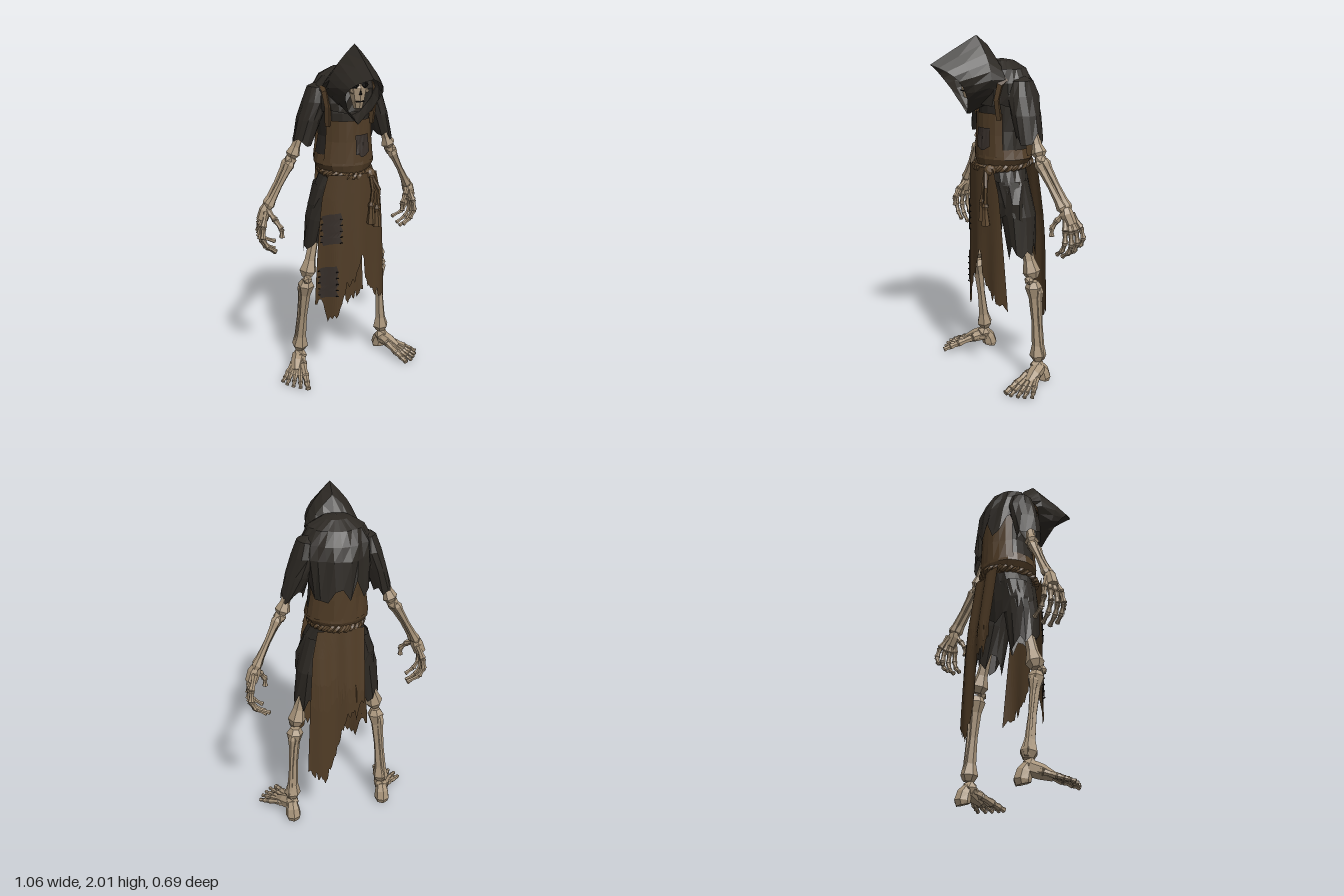
import * as THREE from 'three';
import { ParametricGeometry } from 'three/addons/geometries/ParametricGeometry.js';

const V = (x, y, z) => new THREE.Vector3(x, y, z);
const mat = (color, side = THREE.FrontSide) => new THREE.MeshStandardMaterial({ color, side, flatShading: true, roughness: 1 });
const BONE = mat(0xa8947a), DARK = mat(0x100e0c), ROPE = mat(0x5f4930);
const BLACK = mat(0x2c2823, THREE.DoubleSide), BROWN = mat(0x503c26, THREE.DoubleSide), PATCH = mat(0x38302b, THREE.DoubleSide);
const hash = i => { const s = Math.sin(i * 12.9898 + 4.1) * 43758.5453; return s - Math.floor(s); };
const lerp = THREE.MathUtils.lerp;

function add(parent, name, geometry, material, pos) {
  const m = new THREE.Mesh(geometry, material);
  m.name = name;
  if (pos) m.position.set(...pos);
  parent.add(m);
}

// Faceted tube of varying radius through a list of points, closed at both ends
function limb(pts, radii, sides = 6) {
  const n = pts.length, pos = [], idx = [];
  const d = pts[n - 1].clone().sub(pts[0]);
  const ref = Math.abs(d.z) < Math.abs(d.x) ? V(0, 0, 1) : V(1, 0, 0);
  for (let k = -1; k <= n; k++) {
    const i = Math.min(Math.max(k, 0), n - 1), r = k === i ? radii[i] : 0;
    const t = pts[Math.min(i + 1, n - 1)].clone().sub(pts[Math.max(i - 1, 0)]).normalize();
    const u = ref.clone().cross(t).normalize(), w = t.clone().cross(u);
    for (let j = 0; j < sides; j++) {
      const a = j / sides * Math.PI * 2;
      const p = pts[i].clone().addScaledVector(u, r * Math.cos(a)).addScaledVector(w, r * Math.sin(a));
      pos.push(p.x, p.y, p.z);
    }
  }
  for (let k = 0; k < n + 1; k++) for (let j = 0; j < sides; j++) {
    const a = k * sides + j, b = k * sides + (j + 1) % sides;
    idx.push(a, b, b + sides, a, b + sides, a + sides);
  }
  const g = new THREE.BufferGeometry();
  g.setAttribute('position', new THREE.Float32BufferAttribute(pos, 3));
  g.setIndex(idx);
  g.computeVertexNormals();
  return g;
}

// Bone with thick knobs at both ends
const bone = (a, b, r, knob = 1.25, waist = 0.62) => limb([0, 0.07, 0.2, 0.5, 0.8, 0.93, 1].map(t => a.clone().lerp(b, t)),
  [0.75, knob, waist + 0.18, waist, waist + 0.18, knob, 0.75].map(k => k * r));

// Cloth through horizontal rings [y, cx, cz, rx, rz]; angle 0 faces front; hem lowers the last ring
function cloth(rings, { cols = 18, a0 = -Math.PI, a1 = Math.PI, hem = () => 0, rough = 0.05 } = {}) {
  const full = a1 - a0 > 6.2;
  return new ParametricGeometry((u, v, p) => {
    const k = Math.round(v * (rings.length - 1)), c = Math.round(u * cols), col = full ? c % cols : c;
    const a = a0 + (a1 - a0) * u, [y, cx, cz, rx, rz] = rings[k];
    const q = 1 + rough * (hash(col + k * 31) - 0.5) * 2;
    const drop = k === rings.length - 1 ? hem(a, col) : 0;
    p.set(cx + rx * q * Math.sin(a), y - drop, cz + rz * q * Math.cos(a));
  }, cols, rings.length - 1);
}

// Hanging sheet with a torn lower edge given as [x, y] points
function sheet(top, edge, zAt, cols = 40, rows = 6) {
  const first = edge[0][0], last = edge[edge.length - 1][0];
  return new ParametricGeometry((u, v, p) => {
    const xb = lerp(first, last, u), c = Math.round(u * cols);
    const i = Math.max(1, edge.findIndex(e => e[0] >= xb - 1e-6)), [A, B] = [edge[i - 1], edge[i]];
    const yb = lerp(A[1], B[1], (xb - A[0]) / (B[0] - A[0])) + 0.08 * (hash(c) - 0.4);
    const x = lerp(lerp(top[0], top[1], u), xb, Math.sqrt(v)), y = lerp(top[2], yb, v);
    p.set(x, y, zAt(x, y));
  }, cols, rows);
}

export function createModel() {
  const model = new THREE.Group();
  const group = name => { const g = new THREE.Group(); g.name = name; model.add(g); return g; };

  // Hood: sections [topY, topZ, halfWidth, midY, midZ, bottomY, bottomZ] from brim to nape
  const hood = [
    [1.85, 0.345, 0.105, 1.75, 0.212, 1.575, 0.128], [1.925, 0.21, 0.128, 1.765, 0.15, 1.575, 0.11],
    [2.0, 0.07, 0.138, 1.79, 0.05, 1.6, 0.06], [1.945, 0.0, 0.15, 1.75, -0.03, 1.62, 0], [1.85, -0.05, 0.158, 1.73, -0.08, 1.62, -0.05]];
  add(model, 'hood', new ParametricGeometry((u, v, p) => {
    const [ty, tz, w, my, mz, by, bz] = hood[Math.round(v * 4)];
    const s = u * 2 - 1, t = Math.abs(s);
    const quad = (a, b, c) => a * (1 - t) * (1 - 2 * t) + b * 4 * t * (1 - t) + c * t * (2 * t - 1);
    const q = 1 + 0.12 * (hash(Math.round(t * 9) + v * 40) - 0.5);
    p.set(w * q * Math.sin(Math.PI * s), quad(ty, my, by), quad(tz, mz, bz));
  }, 18, 4), BLACK);

  // Skull under the hood
  const skull = group('skull');
  add(skull, 'cranium', new THREE.IcosahedronGeometry(0.07, 1), BONE, [0, 1.805, 0.06]);
  add(skull, 'face', limb([V(0, 1.81, 0.10), V(0, 1.77, 0.115), V(0, 1.71, 0.12), V(0, 1.665, 0.12)], [0.045, 0.052, 0.038, 0.025], 8), BONE);
  for (const s of [-1, 1]) {
    add(skull, 'eyeSocket', new THREE.IcosahedronGeometry(0.024, 0), DARK, [s * 0.026, 1.793, 0.145]);
    add(skull, 'cheekbone', new THREE.IcosahedronGeometry(0.016, 0), BONE, [s * 0.04, 1.76, 0.14]);
  }
  add(skull, 'noseHole', new THREE.ConeGeometry(0.01, 0.03, 3), DARK, [0, 1.758, 0.165]);
  add(skull, 'mouth', new THREE.BoxGeometry(0.045, 0.006, 0.02), DARK, [0, 1.705, 0.149]);

  // Shirt, shoulder mantle and sleeves
  add(model, 'shirt', cloth([[1.85, 0, -0.1, 0.005, 0.005], [1.81, 0, -0.1, 0.12, 0.09], [1.74, 0, -0.1, 0.165, 0.125],
    [1.62, 0, -0.105, 0.16, 0.14], [1.48, 0, -0.105, 0.148, 0.14], [1.34, 0, -0.105, 0.165, 0.145], [1.26, 0, -0.105, 0.13, 0.13]]), BLACK);
  add(model, 'mantle', cloth([[1.87, 0, -0.09, 0.002, 0.002], [1.86, 0, -0.09, 0.075, 0.06], [1.82, 0, -0.1, 0.145, 0.115],
    [1.75, 0, -0.1, 0.19, 0.15], [1.68, 0, -0.11, 0.195, 0.172], [1.62, 0, -0.12, 0.18, 0.188]],
  { cols: 28, rough: 0.06, hem: (a, c) => (a * a > 4 ? 0.15 : 0.02) * hash(c * 3) + (a * a > 5 ? 0.03 : -0.02) }), BLACK);
  for (const s of [-1, 1]) {
    const z = s > 0 ? -0.13 : -0.1;
    add(model, s > 0 ? 'leftSleeve' : 'rightSleeve', cloth([[1.79, s * 0.14, z, 0.005, 0.005], [1.76, s * 0.155, z, 0.055, 0.065],
      [1.68, s * 0.17, z, 0.07, 0.09], [1.58, s * 0.207, z, 0.068, 0.088], [1.51, s * 0.245, z, 0.06, 0.078]],
    { cols: 14, rough: 0.08, hem: (a, c) => 0.09 * hash(c * 5 + s) }), BLACK);
  }

  // Apron: waist band pinched by the belt, bib and back, straps
  add(model, 'apronWaist', cloth([[1.38, 0, -0.105, 0.165, 0.158], [1.325, 0, -0.105, 0.178, 0.162], [1.26, 0, -0.1, 0.138, 0.145]],
    { rough: 0.025 }), BROWN);
  const bib = [[1.58, 0, -0.105, 0.155, 0.158], [1.46, 0, -0.105, 0.16, 0.16], [1.34, 0, -0.105, 0.178, 0.163]];
  add(model, 'bib', cloth(bib, { cols: 8, a0: -1.02, a1: 1.02, rough: 0.02 }), BROWN);
  add(model, 'apronBack', cloth([[1.66, 0, -0.105, 0.16, 0.155], ...bib], { cols: 10, a0: 1.9, a1: 4.38, rough: 0.025 }), BROWN);
  for (const s of [-1, 1]) add(model, 'strap', limb([V(s * 0.128, 1.55, -0.005), V(s * 0.135, 1.66, 0.015), V(s * 0.145, 1.74, 0),
    V(s * 0.14, 1.78, -0.06), V(s * 0.13, 1.75, -0.16), V(s * 0.12, 1.64, -0.22)], [0.018, 0.018, 0.02, 0.02, 0.018, 0.018], 4), BROWN);
  add(model, 'chestPatch', cloth([[1.5, 0, -0.1, 0.165, 0.164], [1.45, 0, -0.1, 0.17, 0.167], [1.385, 0, -0.1, 0.178, 0.171]],
    { cols: 6, a0: 0.06, a1: 0.6, rough: 0.02, hem: (a, c) => 0.035 * (hash(c) - 0.5) }), PATCH);

  // Torn short trousers
  add(model, 'overskirt', cloth([[1.28, 0, -0.1, 0.135, 0.13], [1.18, 0, -0.1, 0.185, 0.13], [1.08, 0, -0.1, 0.22, 0.12], [1.02, 0, -0.1, 0.225, 0.115]],
    { cols: 22, hem: (a, c) => 0.07 * hash(c * 7) }), BLACK);
  for (const s of [-1, 1]) {
    const z = s > 0 ? -0.125 : -0.09;
    add(model, 'trouserLeg', cloth([[1.2, s * 0.1, -0.1, 0.08, 0.105], [1.0, s * 0.145, z, 0.09, 0.095], [0.87, s * 0.175, z, 0.078, 0.082]],
      { cols: 16, rough: 0.08, hem: (a, c) => 0.13 * hash(c * 3 + s) }), BLACK);
  }

  // Front apron skirt split low in the middle, with patches, and the long back tail
  const frontZ = (x, y) => 0.078 - 1.75 * x * x + 0.01 * Math.sin(x * 45) * (1.27 - y);
  add(model, 'frontSkirt', sheet([-0.145, 0.145, 1.28], [[-0.22, 0.48], [-0.18, 0.48], [-0.14, 0.35], [-0.09, 0.44], [-0.05, 0.58],
    [0, 0.64], [0.03, 0.74], [0.05, 0.8], [0.07, 0.62], [0.12, 0.54], [0.17, 0.5], [0.225, 0.42]], frontZ), BROWN);
  const tailZ = (x, y) => -0.298 + 0.045 * Math.max(0, (y - 0.9) / 0.38) + 0.6 * x * x * Math.max(0, y - 0.5) + 0.008 * Math.sin(x * 40);
  add(model, 'backTail', sheet([-0.13, 0.13, 1.28], [[-0.13, 0.84], [-0.08, 0.74], [-0.03, 0.76], [0.02, 0.56], [0.06, 0.42],
    [0.09, 0.29], [0.13, 0.34], [0.2, 0.36]], tailZ), BROWN);
  for (const [x, y, w, h] of [[-0.13, 0.95, 0.1, 0.18], [-0.15, 0.62, 0.09, 0.19]]) {
    add(model, 'skirtPatch', new ParametricGeometry((u, v, p) => {
      const px = x + w * (u - 0.5) + 0.02 * (hash(v * 9) - 0.5), py = y + h * (0.5 - v) + 0.04 * (hash(u * 7) - 0.5);
      p.set(px, py, frontZ(px, py) + 0.006);
    }, 5, 5), PATCH);
    for (let i = 0; i < 5; i++) for (const e of [-0.5, 0.5]) {
      const sx = x + w * e, sy = y + h * (i / 4 - 0.5) * 0.8;
      add(model, 'stitch', new THREE.BoxGeometry(0.016, 0.005, 0.005), DARK, [sx, sy, frontZ(sx, sy) + 0.006]);
    }
  }

  // Rope belt of two twisted strands, with knot and hanging tassels
  const belt = group('ropeBelt');
  for (const phase of [0, Math.PI]) {
    const pts = Array.from({ length: 112 }, (_, i) => {
      const a = i / 112 * Math.PI * 2, t = a * 16 + phase, r = 0.011 * Math.cos(t);
      return V((0.142 + r) * Math.sin(a), 1.278 - 0.012 * Math.cos(a) + 0.011 * Math.sin(t), -0.097 + (0.16 + r) * Math.cos(a));
    });
    add(belt, 'strand', new THREE.TubeGeometry(new THREE.CatmullRomCurve3(pts, true), 168, 0.013, 5, true), ROPE);
  }
  add(belt, 'knot', new THREE.IcosahedronGeometry(0.035, 1), ROPE, [0.105, 1.265, 0.04]);
  for (const [x, y] of [[0.1, 1.09], [0.135, 1.07]]) {
    add(belt, 'ropeEnd', limb([V(0.105, 1.26, 0.065), V(x + 0.01, 1.18, 0.085), V(x, y, 0.085)], [0.014, 0.012, 0.012]), ROPE);
    add(belt, 'tassel', limb([V(x, y + 0.02, 0.085), V(x, y, 0.085), V(x, y - 0.02, 0.085), V(x, y - 0.11, 0.082)], [0.012, 0.022, 0.016, 0.027]), ROPE);
  }

  // Arms and hands
  for (const s of [-1, 1]) {
    const arm = group(s > 0 ? 'leftArm' : 'rightArm');
    const ez = s > 0 ? -0.16 : -0.115, wz = s > 0 ? -0.235 : -0.1, hz = s > 0 ? -0.265 : -0.1, tz = s > 0 ? 0.055 : 0.115;
    const P = (x, y, z) => V(s * x, y, z);
    add(arm, 'upperArm', bone(P(0.19, 1.68, ez + 0.03), P(0.31, 1.36, ez), 0.034), BONE);
    add(arm, 'elbow', new THREE.IcosahedronGeometry(0.038, 0), BONE, [s * 0.318, 1.345, ez]);
    add(arm, 'radius', bone(P(0.318, 1.34, ez + 0.018), P(0.465, 1.085, wz + 0.014), 0.027, 1.15, 0.68), BONE);
    add(arm, 'ulna', bone(P(0.33, 1.35, ez - 0.013), P(0.47, 1.09, wz - 0.016), 0.024, 1.15, 0.68), BONE);
    add(arm, 'wrist', limb([P(0.462, 1.1, wz), P(0.475, 1.07, wz), P(0.497, 1.015, lerp(wz, hz, 0.5))], [0.028, 0.037, 0.034], 7), BONE);
    for (let i = 0; i < 4; i++) {
      const z = hz + (1.5 - i) * 0.04, len = [0.92, 1, 0.97, 0.85][i], inward = [0, 0.005, 0.01, 0.035][i];
      const path = [[0.475, 1.07], [0.507, 0.975], [0.515, 0.905], [0.485, 0.85], [0.432 - inward, 0.812]]
        .map(([x, y], k) => P(0.475 + (x - 0.475) * len, 1.07 + (y - 1.07) * len, lerp(wz, z, Math.min(1, 0.35 + k * 0.5))));
      for (let k = 0; k < 4; k++) add(arm, 'finger', bone(path[k], path[k + 1], 0.019 - k * 0.0017, 1.05, 0.7), BONE);
    }
    const thumb = [P(0.465, 1.07, wz + 0.015), P(0.44, 1.03, wz + tz * 0.7), P(0.415, 0.985, wz + tz), P(0.415, 0.935, wz + tz)];
    for (let k = 0; k < 3; k++) add(arm, 'thumb', bone(thumb[k], thumb[k + 1], 0.019 - k * 0.0015, 1.05, 0.7), BONE);
  }

  // Legs and feet; the left leg stands further back
  for (const s of [-1, 1]) {
    const leg = group(s > 0 ? 'leftLeg' : 'rightLeg');
    const kz = s > 0 ? -0.165 : -0.06, az = s > 0 ? -0.19 : -0.13;
    const P = (x, y, z) => V(s * x, y, z);
    add(leg, 'thigh', bone(P(0.13, 1.15, -0.1), P(0.25, 0.64, kz), 0.042), BONE);
    add(leg, 'kneecap', new THREE.IcosahedronGeometry(0.03, 0), BONE, [s * 0.257, 0.635, kz + 0.03]);
    add(leg, 'shin', bone(P(0.252, 0.62, kz), P(0.285, 0.13, az), 0.04), BONE);
    add(leg, 'calfBone', bone(P(0.272, 0.59, kz - 0.026), P(0.302, 0.14, az - 0.015), 0.021), BONE);
    add(leg, 'ankle', new THREE.IcosahedronGeometry(0.046, 0), BONE, [s * 0.288, 0.095, az + 0.01]);
    add(leg, 'heel', limb([P(0.288, 0.1, az), P(0.287, 0.06, az - 0.025), P(0.286, 0.02, az - 0.035), P(0.286, 0, az - 0.03)], [0.03, 0.042, 0.047, 0.04], 7), BONE);
    const tips = s > 0 ? [[0.355, 0.07], [0.395, 0.06], [0.425, 0.03], [0.45, 0], [0.47, -0.04]]
      : [[0.32, 0.15], [0.36, 0.125], [0.395, 0.095], [0.425, 0.06], [0.44, 0.02]];
    add(leg, 'instep', limb([P(0.288, 0.085, az), P(lerp(0.29, tips[2][0], 0.25), 0.065, lerp(az, tips[2][1], 0.25)),
      P(lerp(0.29, tips[2][0], 0.5), 0.042, lerp(az, tips[2][1], 0.5))], [0.045, 0.042, 0.026], 7), BONE);
    tips.forEach(([x, z], i) => {
      const path = [[0.02, 0.08], [0.3, 0.066], [0.66, 0.038], [0.85, 0.024], [1, 0.012]]
        .map(([t, y]) => P(lerp(0.278 + i * 0.008, x, t), y - i * 0.003 * (1 - t), lerp(az + 0.01, z, t)));
      for (let k = 0; k < 4; k++) add(leg, 'toe', bone(path[k], path[k + 1], (i ? 0.022 : 0.027) - k * 0.003, 1, 0.75), BONE);
    });
  }
  return model;
}
